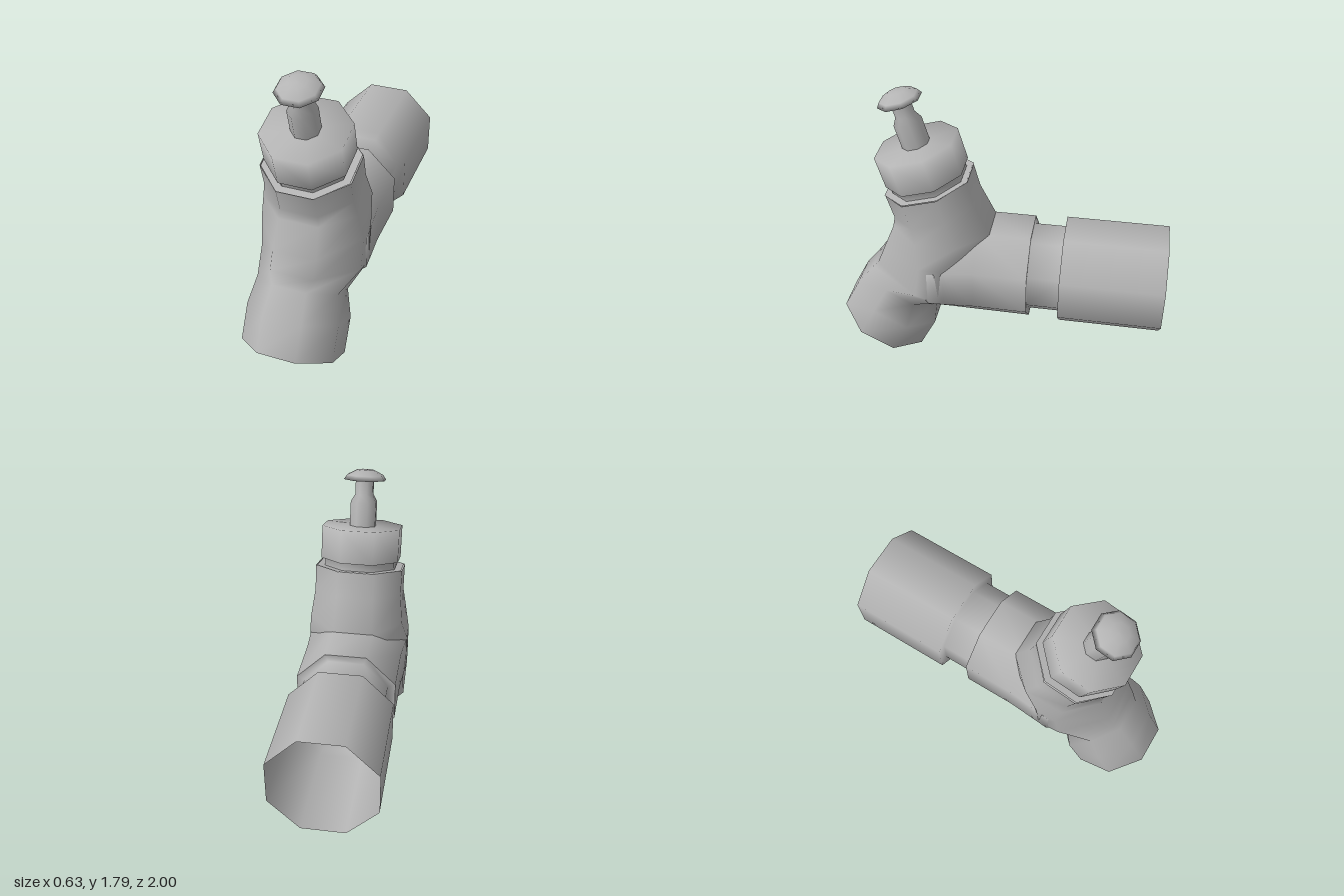
import * as THREE from 'three';

const SIDES = 8;
const grey = new THREE.MeshStandardMaterial({ color: 0xb4b4b4, side: THREE.DoubleSide });
grey.name = 'plain grey';

function part(name, geometry) {
  const mesh = new THREE.Mesh(geometry, grey);
  mesh.name = name;
  return mesh;
}

// Octagonal turned part; profile holds [flat radius, height] from bottom to top
function turned(name, profile) {
  const points = profile.map(([r, y]) => new THREE.Vector2(r / Math.cos(Math.PI / SIDES), y));
  return part(name, new THREE.LatheGeometry(points, SIDES, Math.PI / SIDES));
}

// Smooth octagonal tube through rings [z1, y1, z2, y2, halfWidth, sideFlat]:
// the two points are the middles of opposite flats
function loft(name, rings) {
  const positions = [];
  const index = [];
  const scale = 1 / Math.cos(Math.PI / SIDES);
  rings.forEach(([z1, y1, z2, y2, w, flat = 0.414], i) => {
    for (let k = 0; k < SIDES; k++) {
      const a = (k + 0.5) * 2 * Math.PI / SIDES;
      let u = Math.cos(a) * scale;
      if (Math.abs(u) < 0.5) u = Math.sign(u) * flat;
      positions.push(
        w * Math.sin(a) * scale,
        (y1 + y2) / 2 + u * (y1 - y2) / 2,
        (z1 + z2) / 2 + u * (z1 - z2) / 2
      );
      if (i < rings.length - 1) {
        const p = i * SIDES + k;
        const q = i * SIDES + (k + 1) % SIDES;
        index.push(p, q, q + SIDES, p, q + SIDES, p + SIDES);
      }
    }
  });
  const geometry = new THREE.BufferGeometry();
  geometry.setAttribute('position', new THREE.Float32BufferAttribute(positions, 3));
  geometry.setIndex(index);
  geometry.computeVertexNormals();
  return part(name, geometry);
}

export function createModel() {
  const model = new THREE.Group();
  model.name = 'valveFitting';

  // Bent spout running up through the body into the neck
  model.add(loft('spoutAndNeck', [
    [1.0, 0.27, 0.51, 0.005, 0.28],
    [0.90, 0.46, 0.41, 0.20, 0.28],
    [0.79, 0.60, 0.39, 0.38, 0.245],
    [0.745, 0.66, 0.06, 0.45, 0.31, 0.2],
    [0.70, 0.77, 0.05, 0.79, 0.312, 0.2],
    [0.63, 0.94, 0.045, 0.94, 0.285],
    [0.62, 1.0, 0.14, 1.14, 0.265],
    [0.665, 1.15, 0.18, 1.29, 0.265]
  ]));

  // Horizontal branch of the body
  model.add(loft('bodyBranch', [
    [0.58, 0.80, 0.58, 0.52, 0.18],
    [0.39, 0.90, 0.39, 0.38, 0.315],
    [0.30, 0.925, 0.30, 0.365, 0.308],
    [0.12, 0.945, 0.12, 0.358, 0.295],
    [-0.2, 0.945, -0.2, 0.355, 0.295]
  ]));

  // Open rear pipe with its narrow collar
  const pipe = turned('rearPipe', [
    [0.305, -1], [0.305, -0.39], [0.25, -0.39], [0.25, -0.2], [0.295, -0.2]
  ]);
  pipe.rotation.x = Math.PI / 2;
  pipe.position.y = 0.65;
  model.add(pipe);

  // Tilted cap assembly on top of the neck
  const top = new THREE.Group();
  top.name = 'capAssembly';
  top.position.set(0, 1.22, 0.422);
  top.rotation.x = THREE.MathUtils.degToRad(16);
  top.add(
    turned('neckRim', [[0.258, 0], [0.215, 0]]),
    turned('cap', [[0.212, -0.01], [0.212, 0.047], [0.235, 0.047], [0.235, 0.245], [0, 0.245]]),
    turned('stem', [[0.077, 0.23], [0.077, 0.39], [0.053, 0.435], [0.053, 0.535]]),
    turned('knob', [[0.05, 0.53], [0.122, 0.523], [0.105, 0.55], [0.05, 0.58], [0, 0.582]])
  );
  model.add(top);

  return model;
}
